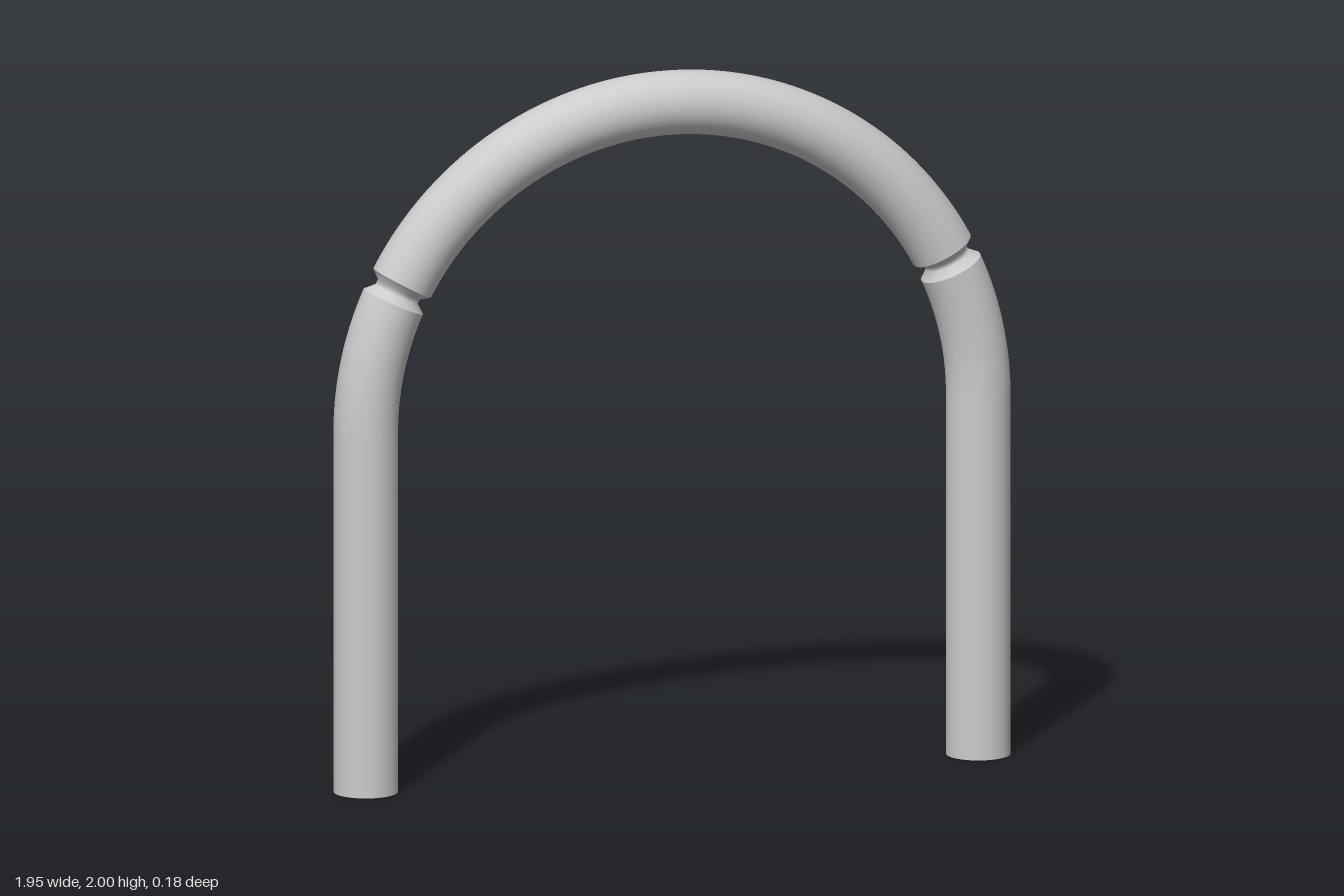
import * as THREE from 'three';

const R = 0.885;        // radius of the arch centre line
const H = 1.025;        // height where the straight legs start to bend
const TUBE = 0.09;      // tube radius
const NECK = 0.065;     // tube radius in the groove
const LENGTH = 2 * H + Math.PI * R;
const along = deg => H + R * THREE.MathUtils.degToRad(deg);

// Bends a lathe standing on y onto the path: up one leg, over the arch, down the other.
function bend(geometry) {
  const pos = geometry.attributes.position, nor = geometry.attributes.normal;
  const axis = new THREE.Vector3(0, 0, 1), v = new THREE.Vector3(), n = new THREE.Vector3();
  for (let i = 0; i < pos.count; i++) {
    v.fromBufferAttribute(pos, i);
    n.fromBufferAttribute(nor, i);
    const a = THREE.MathUtils.clamp((v.y - H) / R, 0, Math.PI);
    const straight = v.y - H - a * R;   // distance left over on a straight leg
    v.set(R + v.x, straight, v.z).applyAxisAngle(axis, a);
    pos.setXYZ(i, v.x, v.y + H, v.z);
    n.applyAxisAngle(axis, a);
    nor.setXYZ(i, n.x, n.y, n.z);
  }
  return geometry;
}

// Profile of constant radius between two path lengths
function run(from, to, steps) {
  return Array.from({ length: steps + 1 }, (_, i) => [TUBE, from + (to - from) * i / steps]);
}

export function createModel() {
  const group = new THREE.Group();
  const material = new THREE.MeshStandardMaterial({ color: 0xcccccc });

  const add = (name, profile) => {
    const points = profile.map(([r, s]) => new THREE.Vector2(r, s));
    const mesh = new THREE.Mesh(bend(new THREE.LatheGeometry(points, 40)), material);
    mesh.name = name;
    group.add(mesh);
  };

  // Arch over the top
  add('arch', run(along(28.2), along(151.8), 64));

  // Each side: end cap, leg with its curved upper end, and the grooved joint
  const legTop = along(24.5);
  const sides = {
    Cap: [[0, 0], [TUBE, 0]],
    Leg: [[TUBE, 0], ...run(H, legTop, 14)],
    Joint: [[TUBE, legTop], [NECK, along(26)], [NECK, along(26.9)], [TUBE, along(28.2)]],
  };
  for (const [part, profile] of Object.entries(sides)) {
    add('left' + part, profile);
    add('right' + part, profile.map(([r, s]) => [r, LENGTH - s]).reverse());
  }
  return group;
}
